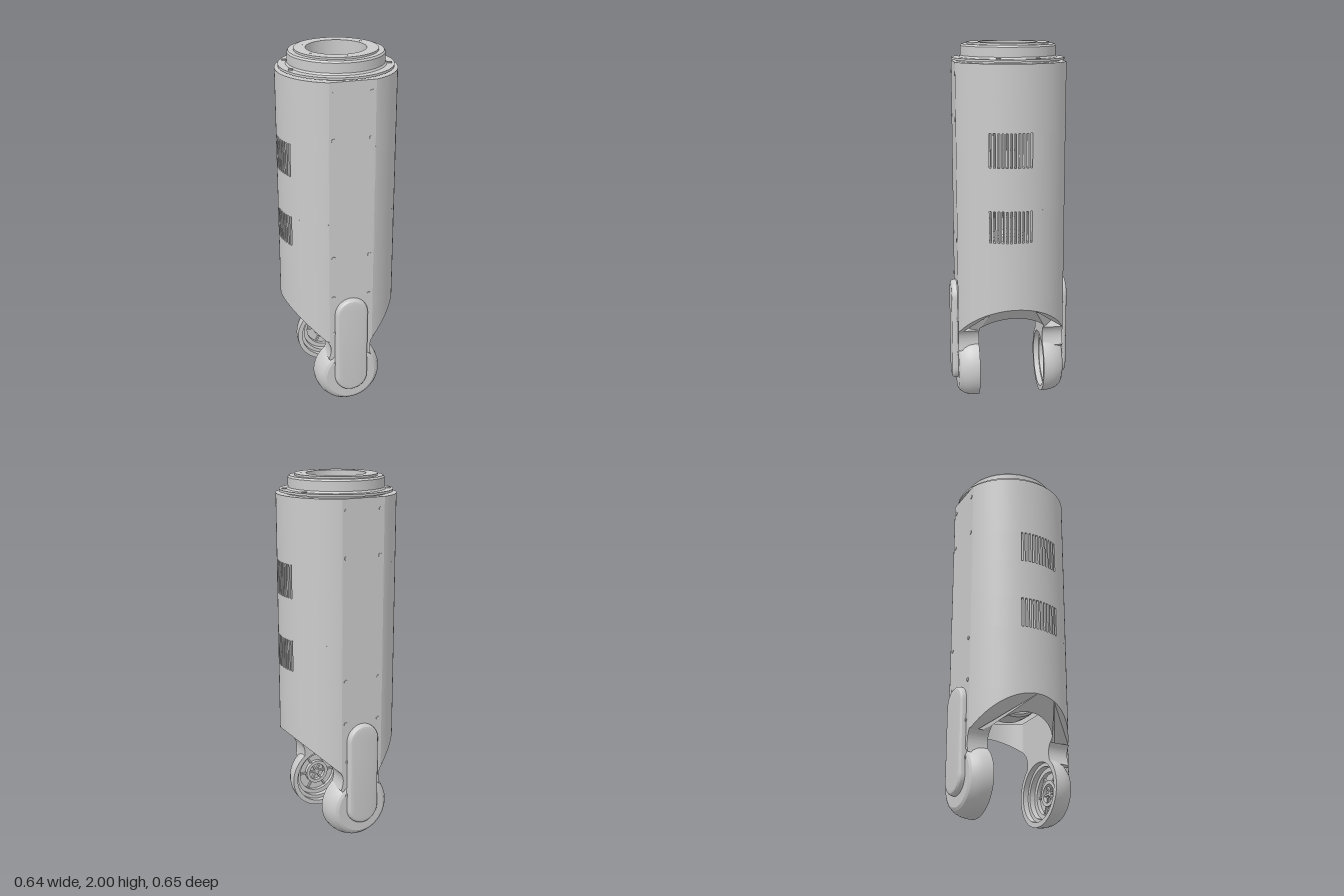
import * as THREE from 'three';
import { toCreasedNormals } from 'three/addons/utils/BufferGeometryUtils.js';

const R = 0.32, FLAT = 0.295;      // outer wall radius and front/back flats
const RI = 0.27, FLAT_IN = 0.25;   // inner wall
const AXIS_Y = 0.187;              // height of the joint axis

export function createModel() {
  const model = new THREE.Group();
  const mat = new THREE.MeshStandardMaterial({ color: 0xcccccc });

  const add = (parent, name, geo, x = 0, y = 0, z = 0) => {
    const mesh = new THREE.Mesh(toCreasedNormals(geo, 0.35), mat);
    mesh.name = name;
    mesh.position.set(x, y, z);
    parent.add(mesh);
    return mesh;
  };
  const group = (name, parent = model) => {
    const g = new THREE.Group();
    g.name = name;
    parent.add(g);
    return g;
  };

  // Arc in plan (x, z), cut off by the flats
  const arc = (r, flat, a0, a1, n = 128) => Array.from({ length: n + 1 }, (_, i) => {
    const a = a0 + (a1 - a0) * i / n;
    const z = THREE.MathUtils.clamp(r * Math.sin(a), -flat, flat);
    return new THREE.Vector2(r * Math.cos(a), z);
  });
  // Plan shape raised from y0 to y1
  const raise = (shape, y0, y1) => {
    const g = new THREE.ExtrudeGeometry(shape, { depth: y1 - y0, bevelEnabled: false });
    return g.rotateX(Math.PI / 2).translate(0, y1, 0);
  };
  const ring = (ri, flatIn, y0, y1) => {
    const shape = new THREE.Shape(arc(R, FLAT, 0, Math.PI * 2).slice(0, -1));
    shape.holes.push(new THREE.Path(arc(ri, flatIn, 0, Math.PI * 2).slice(0, -1)));
    return raise(shape, y0, y1);
  };
  const lathe = (pts, n = 96) =>
    new THREE.LatheGeometry(pts.map(p => new THREE.Vector2(...p)), n);

  // Hollow body, with two bands of vent slots
  const body = group('body');
  for (const [y0, y1] of [[0.62, 0.97], [1.14, 1.37], [1.55, 1.9]]) {
    add(body, 'bodyWall', ring(RI, FLAT_IN, y0, y1));
  }
  const slotBack = -0.085, slotFront = 0.14, slots = 11;
  const step = (slotFront - slotBack) / (slots * 2 - 1);
  for (const [y0, y1] of [[0.97, 1.14], [1.37, 1.55]]) {
    for (const z of [slotFront, slotBack]) {
      const s = Math.sign(z);
      const a = Math.asin(z / R), b = Math.asin(z / RI);
      const pts = [...arc(R, FLAT, a, s * Math.PI - a), ...arc(RI, FLAT_IN, s * Math.PI - b, b)];
      add(body, s > 0 ? 'frontVentWall' : 'backVentWall', raise(new THREE.Shape(pts), y0, y1));
    }
    for (const side of [1, -1]) {
      for (let i = 0; i < slots - 1; i++) {
        const z0 = slotBack + (2 * i + 1) * step, z1 = z0 + step;
        const at = (r, z) => new THREE.Vector2(side * Math.sqrt(r * r - z * z), z);
        add(body, 'ventBar', raise(new THREE.Shape([at(R, z0), at(R, z1), at(RI, z1), at(RI, z0)]), y0, y1));
      }
    }
  }

  // Lower skirt: its bottom edge slopes in from both sides to the fork arms
  const skirt = ring(0.24, 0.18, 0, 0.62);
  const p = skirt.attributes.position;
  for (let i = 0; i < p.count; i++) {
    if (p.getY(i) < 0.1) p.setY(i, Math.max(0.39, 0.6 - (R - Math.abs(p.getX(i))) * 0.95));
  }
  add(body, 'skirt', skirt);

  // Top collar with flange and bore
  const collar = group('collar');
  add(collar, 'collarRing', lathe([
    [0.158, 1.86], [0.275, 1.86], [0.275, 1.908], [0.302, 1.908], [0.302, 1.92], [0.262, 1.92],
    [0.255, 1.93], [0.255, 1.98], [0.248, 1.99], [0.22, 1.99], [0.22, 2], [0.158, 2], [0.158, 1.86],
  ]));
  for (let i = 0; i < 6; i++) {
    const a = Math.PI / 6 + i * Math.PI / 3;
    add(collar, 'collarScrew', new THREE.CylinderGeometry(0.006, 0.006, 0.004, 10),
      0.185 * Math.cos(a), 1.999, 0.185 * Math.sin(a));
  }
  for (const side of [1, -1]) {
    for (const [x, z] of [[0.248, -0.122], [0.262, 0.086]]) {
      add(collar, 'flangeScrew', new THREE.CylinderGeometry(0.013, 0.013, 0.012, 16), side * x, 1.92, z);
    }
  }

  // Pill-shaped outline for the arm covers
  const pill = (w, y0, y1) => {
    const s = new THREE.Shape();
    s.absarc(0, y1 - w, w, 0, Math.PI);
    s.absarc(0, y0 + w, w, Math.PI, Math.PI * 2);
    s.closePath();
    return s;
  };

  // One fork arm with its joint cup, built at the front and turned for the back
  const forkArm = (name, turn) => {
    const arm = group(name);
    arm.rotation.y = turn;

    const cup = lathe([
      [0, 0.262], [0.05, 0.262], [0.05, 0.24], [0.07, 0.24], [0.07, 0.262], [0.115, 0.262],
      [0.115, 0.24], [0.14, 0.24], [0.14, 0.21], [0.16, 0.21], [0.16, 0.18], [0.187, 0.18],
      [0.187, 0.205], [0.183, 0.235], [0.172, 0.265], [0.155, 0.287], [0.14, FLAT], [0, FLAT],
    ]);
    add(arm, 'jointCup', cup.rotateX(Math.PI / 2), 0, AXIS_Y, 0);
    for (let i = 0; i < 3; i++) {
      const rib = add(arm, 'cupRib', new THREE.BoxGeometry(0.22, 0.01, 0.016), 0, AXIS_Y, 0.257);
      rib.rotation.z = i * Math.PI / 3;
    }

    // Neck between skirt and cup, with its foot following the cup's rim
    const neck = new THREE.Shape();
    neck.moveTo(0.135, 0.425);
    neck.lineTo(-0.135, 0.425);
    neck.quadraticCurveTo(-0.098, 0.385, -0.128, 0.315);
    const foot = Math.atan2(0.315 - AXIS_Y, 0.128);
    neck.absarc(0, AXIS_Y, 0.165, Math.PI - foot, foot, true);
    neck.quadraticCurveTo(0.098, 0.385, 0.135, 0.425);
    add(arm, 'neck', new THREE.ExtrudeGeometry(neck, { depth: FLAT - 0.18, bevelEnabled: false, curveSegments: 20 }), 0, 0, 0.18);

    // Raised cover with a sloping edge
    add(arm, 'armCover', new THREE.ExtrudeGeometry(pill(0.07, 0.125, 0.665), {
      depth: 0.015, bevelThickness: 0.022, bevelSize: 0.022, bevelSegments: 3, curveSegments: 20,
    }), 0, 0, 0.29);

    // Screws on the flat and beside the cover
    for (const side of [1, -1]) {
      for (const y of [1.84, 1.6, 0.94, 0.7]) {
        const g = new THREE.CylinderGeometry(0.011, 0.011, 0.006, 12).rotateX(Math.PI / 2);
        add(arm, 'bodyScrew', g, side * 0.1, y, FLAT);
      }
      for (const y of [0.48, 0.28]) {
        const g = new THREE.CylinderGeometry(0.01, 0.01, 0.008, 12).rotateX(Math.PI / 2);
        add(arm, 'coverScrew', g, side * 0.09, y, 0.296);
      }
    }
  };
  forkArm('frontForkArm', 0);
  forkArm('backForkArm', Math.PI);

  // Drive wheel and its mounts inside the body
  const drive = group('drive');
  add(drive, 'driveWheel', lathe([
    [0, -0.064], [0.185, -0.064], [0.197, -0.055], [0.2, 0], [0.197, 0.055], [0.185, 0.064], [0, 0.064],
  ], 64).rotateZ(Math.PI / 2), 0, 0.76, 0);
  for (const side of [1, -1]) {
    add(drive, 'mountBlock', new THREE.BoxGeometry(0.08, 0.1, 0.14), side * 0.1, 0.76, 0);
    add(drive, 'mountPlate', new THREE.BoxGeometry(0.08, 0.02, 0.5), side * 0.1, 0.72, 0);
    for (const x of [0.083, 0.096]) {
      add(drive, 'mountRib', new THREE.BoxGeometry(0.005, 0.11, 0.46), side * x, 0.765, 0);
    }
    for (const x of [0.072, 0.112]) {
      for (const z of [-0.096, 0.092]) {
        add(drive, 'mountBolt', new THREE.CylinderGeometry(0.012, 0.012, 0.02, 6), side * x, 0.738, z);
      }
    }
  }
  return model;
}
